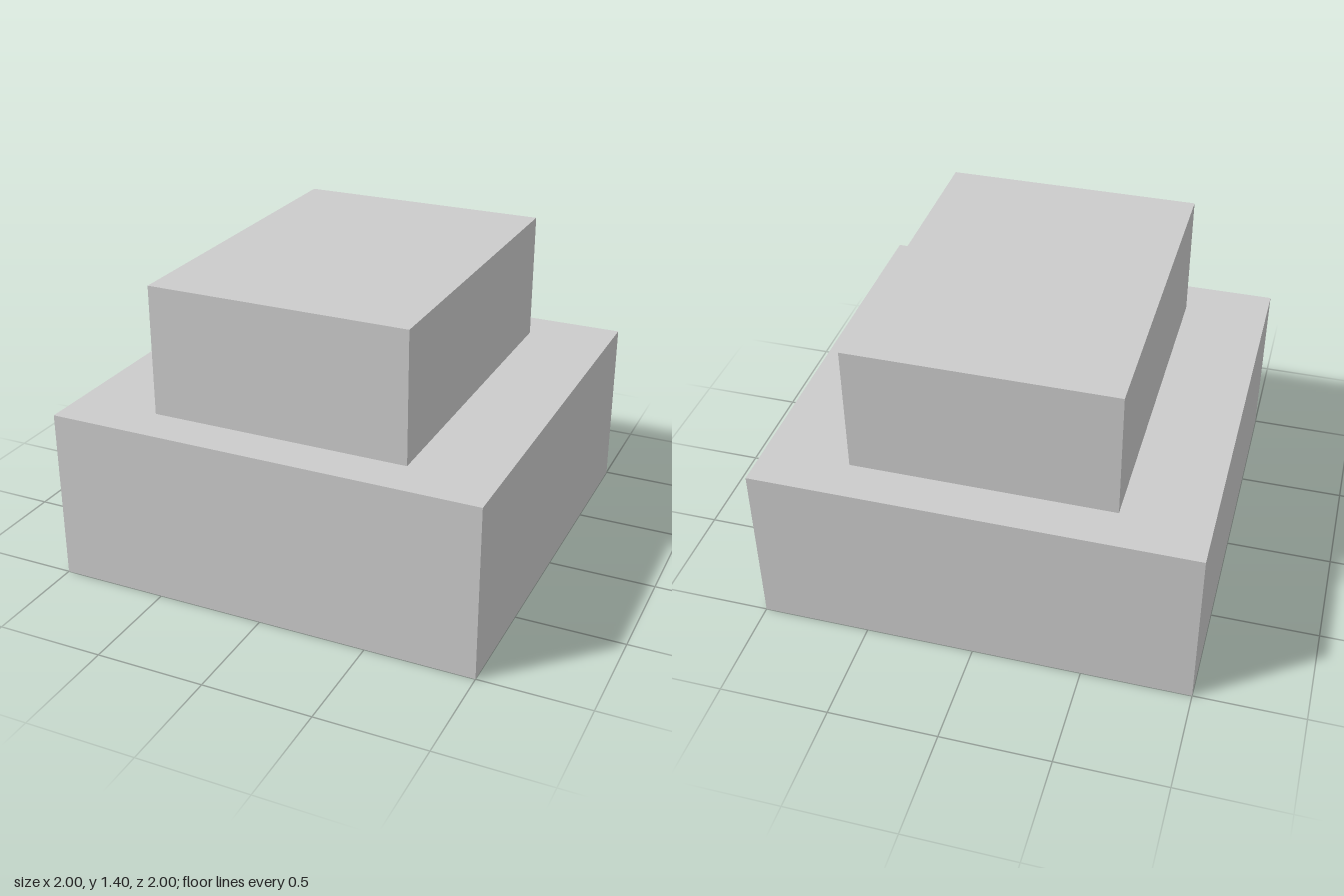
import * as THREE from 'three';

const material = new THREE.MeshStandardMaterial({ color: 0xcccccc, flatShading: true });

// A box standing on height y
function block(name, width, height, depth, y) {
  const mesh = new THREE.Mesh(new THREE.BoxGeometry(width, height, depth), material);
  mesh.name = name;
  mesh.position.y = y + height / 2;
  return mesh;
}

export function createModel() {
  const model = new THREE.Group();
  model.name = 'steppedBlock';
  // Wide base with a narrower block on top
  model.add(block('base', 2, 0.8, 2, 0));
  model.add(block('upperBlock', 1.2, 0.6, 1.6, 0.8));
  return model;
}
